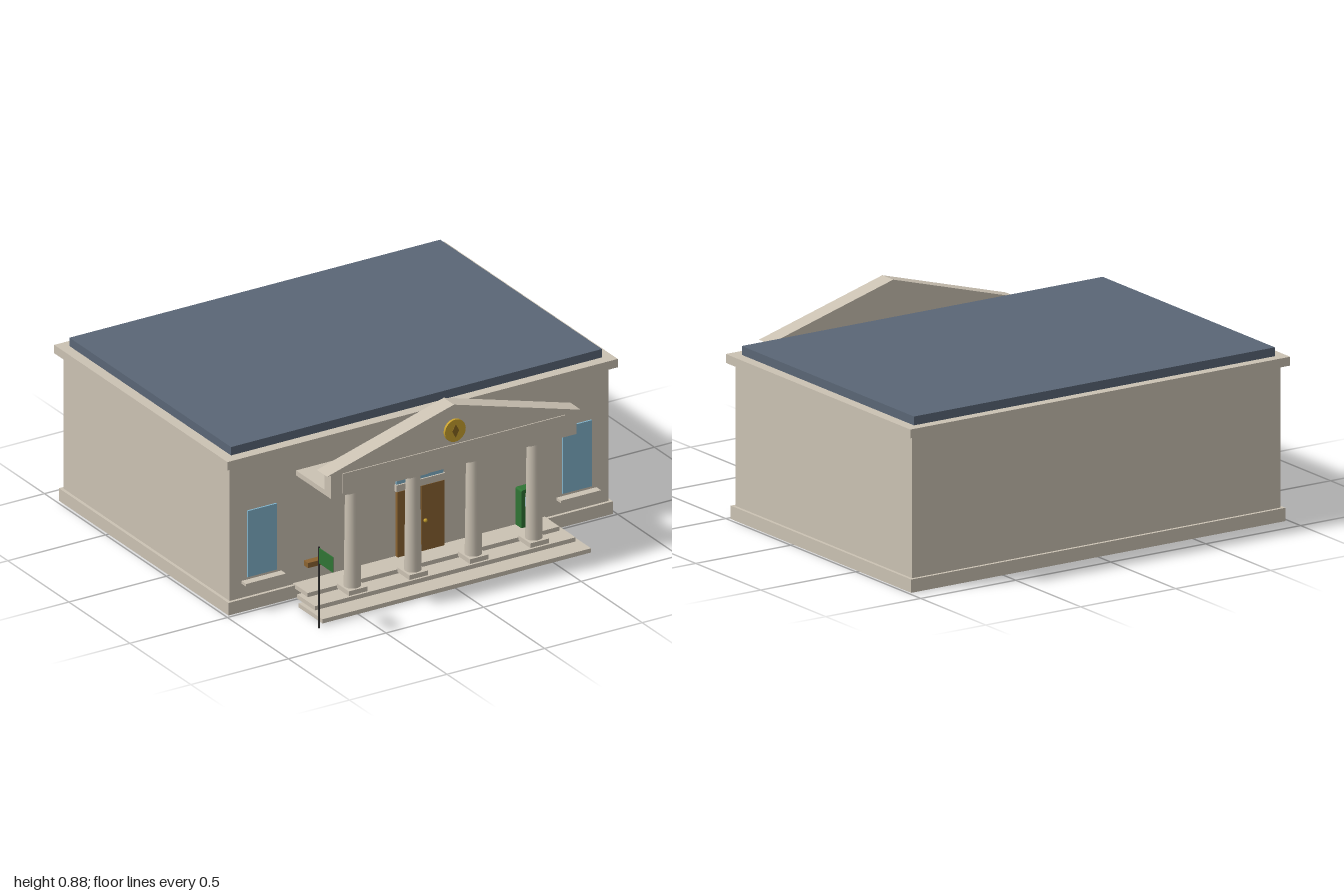
import * as THREE from 'three';

const mat = (name, color) => {
  const m = new THREE.MeshStandardMaterial({ color });
  m.name = name;
  return m;
};

export function createModel() {
  const stone = mat('stone', 0xcbc2b3);
  const slate = mat('slate', 0x5a6676);
  const glass = mat('glass', 0x82b4cc);
  const wood = mat('wood', 0x8b6331);
  const green = mat('green', 0x2f7434);
  const gold = mat('gold', 0xc9a22f);
  const bronze = mat('bronze', 0x86651f);
  const iron = mat('iron', 0x2c2c2c);

  const model = new THREE.Group();
  model.name = 'bankBuilding';

  const add = (name, geometry, material, parent = model) => {
    const mesh = new THREE.Mesh(geometry, material);
    mesh.name = name;
    parent.add(mesh);
    return mesh;
  };
  // Box given by its limits on each axis
  const box = (name, material, x0, x1, y0, y1, z0, z1, parent) => {
    const g = new THREE.BoxGeometry(x1 - x0, y1 - y0, z1 - z0);
    g.translate((x0 + x1) / 2, (y0 + y1) / 2, (z0 + z1) / 2);
    return add(name, g, material, parent);
  };
  // Flat outline extruded from z0 to z1
  const plate = (name, material, shape, z0, z1, parent) => {
    const g = new THREE.ExtrudeGeometry(shape, { depth: z1 - z0, bevelEnabled: false, curveSegments: 20 });
    g.translate(0, 0, z0);
    return add(name, g, material, parent);
  };

  // Main block
  box('plinth', stone, -0.985, 0.985, 0, 0.06, -0.905, 0.485);
  box('walls', stone, -0.97, 0.97, 0.06, 0.705, -0.89, 0.47);
  box('cornice', stone, -1, 1, 0.705, 0.745, -0.92, 0.5);
  box('roof', slate, -0.95, 0.95, 0.745, 0.785, -0.875, 0.45);

  // Entrance steps
  [[0.688, 0.585, 0.78], [0.668, 0.54, 0.685], [0.645, 0.47, 0.59]].forEach(([w, z0, z1], i) =>
    box('step', stone, -w, w, 0.005 + i * 0.02, 0.025 + i * 0.02, z0, z1));

  // Four tapered columns
  for (const x of [-0.465, -0.155, 0.155, 0.465]) {
    const column = new THREE.Group();
    column.name = 'column';
    column.position.set(x, 0, 0.668);
    box('columnBase', stone, -0.048, 0.048, 0.068, 0.09, -0.048, 0.048, column);
    const shaft = new THREE.CylinderGeometry(0.032, 0.038, 0.465, 24);
    shaft.translate(0, 0.3225, 0);
    add('columnShaft', shaft, stone, column);
    box('columnCapital', stone, -0.05, 0.05, 0.555, 0.578, -0.05, 0.05, column);
    model.add(column);
  }

  // Portico ceiling, frieze and pediment
  box('porticoCeiling', stone, -0.63, 0.63, 0.578, 0.602, 0.47, 0.755);
  box('frieze', stone, -0.63, 0.63, 0.602, 0.69, 0.705, 0.755);
  box('friezePanel', stone, -0.57, 0.57, 0.59, 0.685, 0.755, 0.76);
  const gable = new THREE.Shape();
  gable.moveTo(-0.65, 0.69);
  gable.lineTo(0.65, 0.69);
  gable.lineTo(0, 0.875);
  plate('pediment', stone, gable, 0.673, 0.757);

  // Gold medallion with a plain bronze lozenge
  const disc = new THREE.CylinderGeometry(0.053, 0.053, 0.012, 32);
  disc.rotateX(Math.PI / 2);
  disc.translate(0, 0.755, 0.763);
  add('medallion', disc, gold);
  const lozenge = new THREE.Shape();
  lozenge.moveTo(0, 0.723);
  lozenge.lineTo(0.017, 0.755);
  lozenge.lineTo(0, 0.787);
  lozenge.lineTo(-0.017, 0.755);
  plate('medallionLozenge', bronze, lozenge, 0.769, 0.772);

  // Double door with transom and arched fanlight
  for (const s of [-1, 1]) {
    const x0 = s < 0 ? -0.12 : 0.001;
    box('doorLeaf', wood, x0, x0 + 0.119, 0.065, 0.378, 0.47, 0.488);
    const knob = new THREE.SphereGeometry(0.009, 12, 8);
    knob.translate(s * 0.02, 0.21, 0.492);
    add('doorKnob', knob, gold);
  }
  box('transom', stone, -0.125, 0.125, 0.378, 0.41, 0.47, 0.486);
  const arch = new THREE.Shape();
  arch.absarc(0, 0.405, 0.121, 0, Math.PI, false);
  plate('fanlight', glass, arch, 0.47, 0.479);

  // Side windows and sills
  for (const x of [-0.807, 0.807]) {
    box('windowPane', glass, x - 0.075, x + 0.075, 0.155, 0.472, 0.47, 0.478);
    box('windowSill', stone, x - 0.102, x + 0.102, 0.128, 0.141, 0.47, 0.508);
  }

  // Cash machine with a rounded top
  const cabinet = new THREE.Shape();
  cabinet.moveTo(0.495, 0.065);
  cabinet.lineTo(0.595, 0.065);
  cabinet.lineTo(0.595, 0.235);
  cabinet.quadraticCurveTo(0.595, 0.245, 0.585, 0.245);
  cabinet.lineTo(0.505, 0.245);
  cabinet.quadraticCurveTo(0.495, 0.245, 0.495, 0.235);
  plate('cashMachine', green, cabinet, 0.47, 0.518);
  box('cashMachineScreen', glass, 0.513, 0.573, 0.167, 0.211, 0.518, 0.522);

  // Wall bench
  box('bench', wood, -0.59, -0.5, 0.137, 0.161, 0.47, 0.505);

  // Flagpole and flag
  const pole = new THREE.CylinderGeometry(0.004, 0.004, 0.39, 10);
  pole.translate(-0.72, 0.195, 0.802);
  add('flagpole', pole, iron);
  box('flag', green, -0.722, -0.718, 0.312, 0.385, 0.802, 0.92);

  return model;
}
